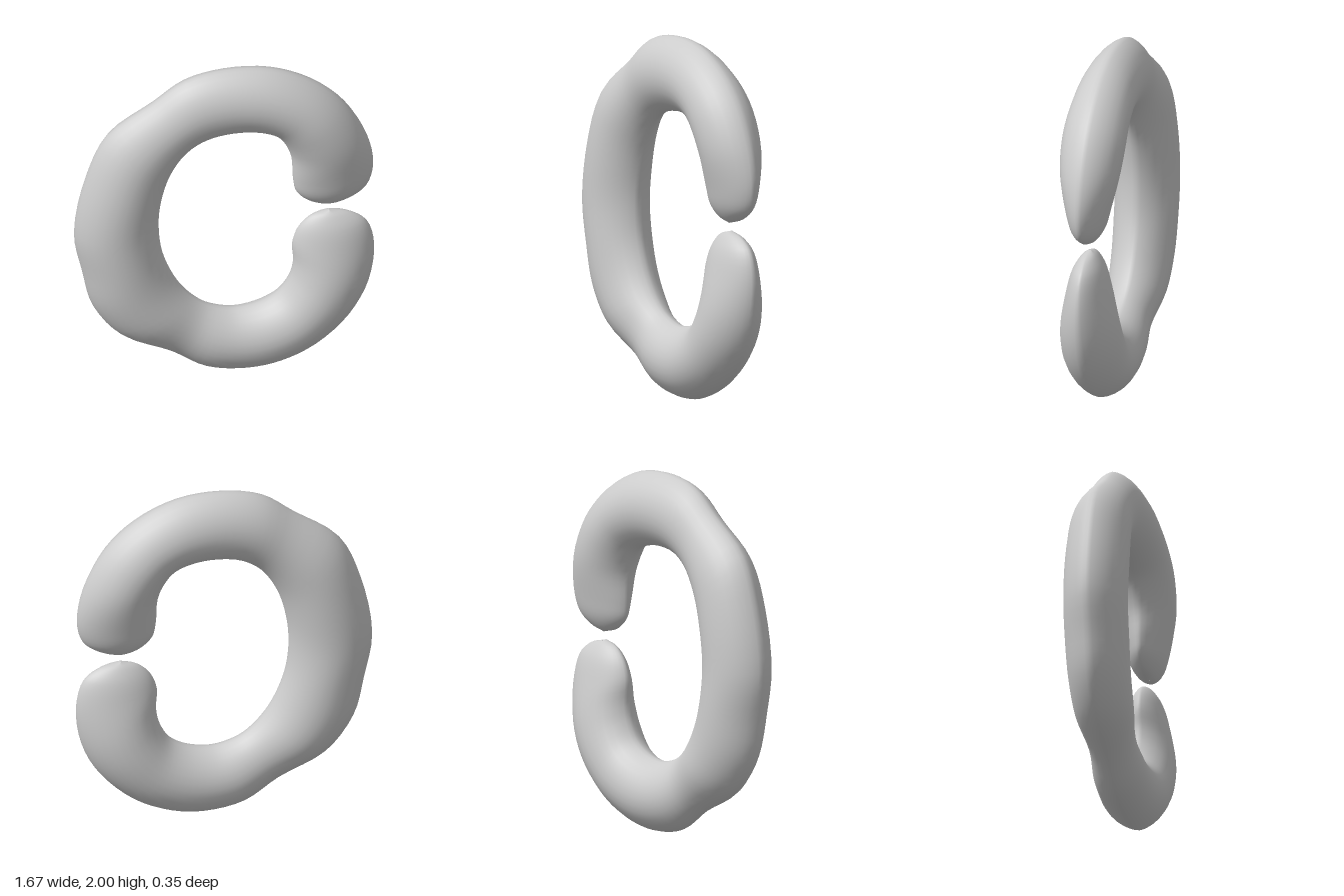
import * as THREE from 'three';

// Cross-sections along the ring: outer x, y, inner x, y, half depth
const SECTIONS = [
  [0.58, 1.045, 0.58, 1.045, 0.01],
  [0.70, 1.08, 0.47, 1.075, 0.05],
  [0.79, 1.15, 0.40, 1.14, 0.09],
  [0.825, 1.28, 0.38, 1.23, 0.12],
  [0.79, 1.48, 0.37, 1.38, 0.16],
  [0.67, 1.71, 0.33, 1.48, 0.175],
  [0.50, 1.87, 0.28, 1.54, 0.17],
  [0.26, 1.98, 0.19, 1.575, 0.16],
  [0.00, 2.00, 0.05, 1.585, 0.15],
  [-0.22, 1.95, -0.10, 1.555, 0.145],
  [-0.40, 1.82, -0.21, 1.48, 0.14],
  [-0.65, 1.63, -0.30, 1.34, 0.165],
  [-0.77, 1.36, -0.35, 1.17, 0.175],
  [-0.835, 1.00, -0.365, 1.00, 0.175],
  [-0.79, 0.74, -0.345, 0.82, 0.175],
  [-0.73, 0.50, -0.28, 0.65, 0.17],
  [-0.58, 0.30, -0.20, 0.53, 0.16],
  [-0.31, 0.16, -0.11, 0.45, 0.13],
  [-0.11, 0.035, -0.02, 0.41, 0.145],
  [0.12, 0.00, 0.07, 0.395, 0.155],
  [0.31, 0.03, 0.20, 0.42, 0.165],
  [0.51, 0.125, 0.30, 0.48, 0.17],
  [0.70, 0.31, 0.36, 0.58, 0.17],
  [0.80, 0.51, 0.38, 0.68, 0.155],
  [0.83, 0.74, 0.375, 0.80, 0.12],
  [0.79, 0.90, 0.41, 0.90, 0.085],
  [0.70, 0.97, 0.48, 0.97, 0.045],
  [0.58, 1.00, 0.58, 1.00, 0.01],
];

// Lofts lens-shaped rings between the outer and inner edge curves
function loftRing(sections, steps, sides) {
  const outer = new THREE.CatmullRomCurve3(
    sections.map(([x, y, , , d]) => new THREE.Vector3(x, y, d)));
  const inner = new THREE.CatmullRomCurve3(
    sections.map(([, , x, y]) => new THREE.Vector3(x, y, 0)));
  const positions = [];
  const index = [];
  for (let i = 0; i <= steps; i++) {
    const o = outer.getPoint(i / steps);
    const n = inner.getPoint(i / steps);
    for (let j = 0; j < sides; j++) {
      const a = (j / sides) * Math.PI * 2;
      const k = (1 + Math.cos(a)) / 2;
      const s = Math.sin(a);
      const z = Math.sign(s) * Math.pow(Math.abs(s), 1.3) * Math.max(o.z, 0);
      positions.push(n.x + (o.x - n.x) * k, n.y + (o.y - n.y) * k, z);
      if (i === steps) continue;
      const p = i * sides + j;
      const q = i * sides + (j + 1) % sides;
      index.push(p, p + sides, q, p + sides, q + sides, q);
    }
  }
  const geometry = new THREE.BufferGeometry();
  geometry.setAttribute('position', new THREE.Float32BufferAttribute(positions, 3));
  geometry.setIndex(index);
  geometry.computeVertexNormals();
  return geometry;
}

export function createModel() {
  const group = new THREE.Group();
  group.name = 'openRing';

  // Single open ring with rounded, flattened ends
  const ring = new THREE.Mesh(
    loftRing(SECTIONS, (SECTIONS.length - 1) * 4, 28),
    new THREE.MeshStandardMaterial({ color: 0xcccccc }));
  ring.name = 'ringBody';
  group.add(ring);
  return group;
}
